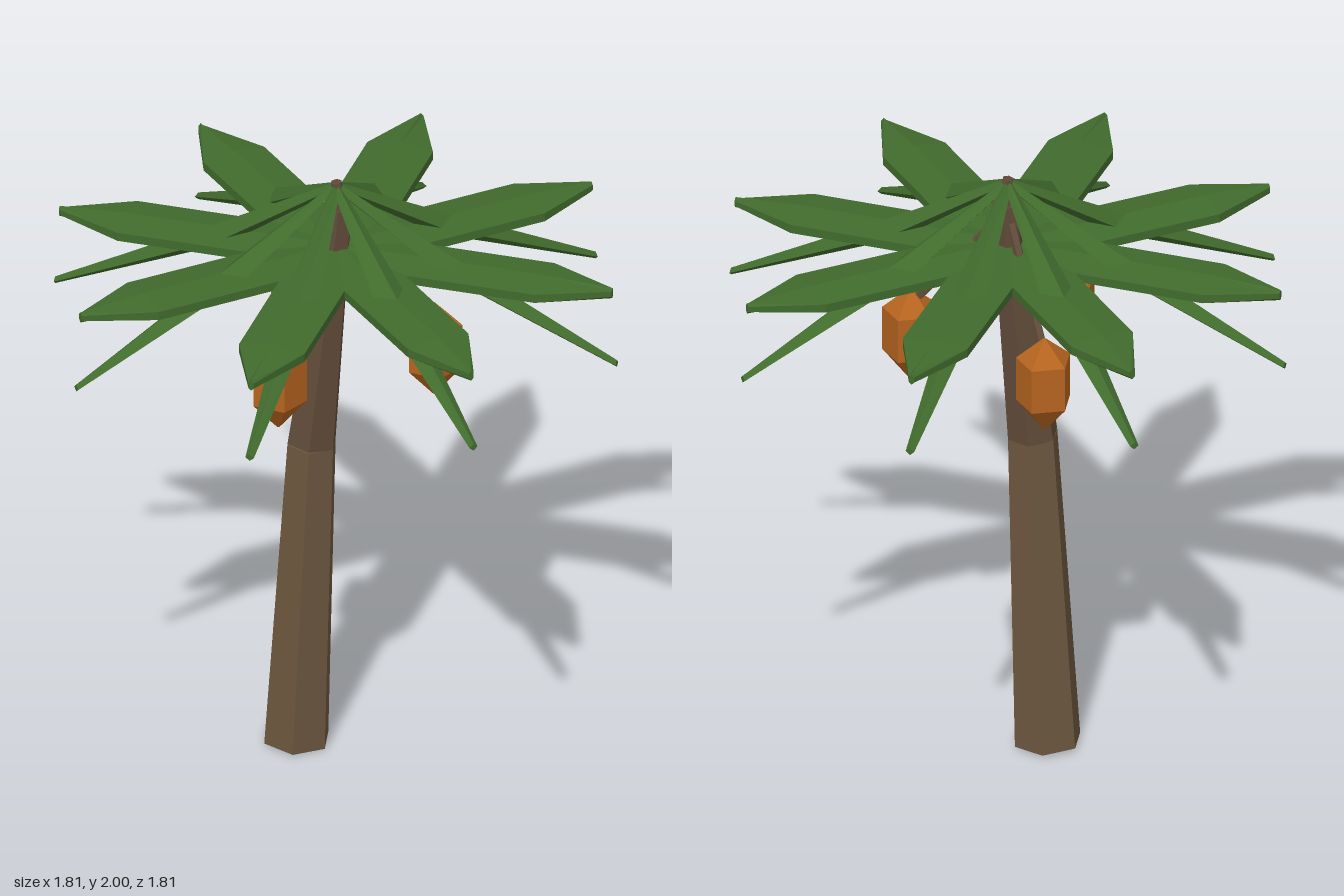
import * as THREE from 'three';

const mat = (name, color) => {
  const m = new THREE.MeshStandardMaterial({ color });
  m.name = name;
  return m;
};

// Faceted normals for the low-poly look
const facet = (geo) => {
  const g = geo.toNonIndexed();
  g.computeVertexNormals();
  return g;
};

// Prism along x through stations [x, centreY, halfHeight, halfWidth]
function beam(sides, stations) {
  const n = stations.length - 1;
  const geo = new THREE.CylinderGeometry(1, 1, n, sides, n);
  const p = geo.attributes.position;
  for (let i = 0; i < p.count; i++) {
    const [x, y, h, w] = stations[Math.round(p.getY(i) + n / 2)];
    p.setXYZ(i, x, y + p.getZ(i) * h, p.getX(i) * w);
  }
  return facet(geo);
}

// Tapered rod between two points
function rod(a, b, ra, rb, sides) {
  const from = new THREE.Vector3(...a), dir = new THREE.Vector3(...b).sub(from);
  const geo = new THREE.CylinderGeometry(rb, ra, dir.length(), sides);
  const up = new THREE.Vector3(0, 1, 0);
  geo.applyQuaternion(new THREE.Quaternion().setFromUnitVectors(up, dir.clone().normalize()));
  geo.translate(...from.addScaledVector(dir, 0.5).toArray());
  return facet(geo);
}

export function createModel() {
  const model = new THREE.Group();
  model.name = 'palmTree';
  const bark = mat('bark', 0x6b563e);
  const upperBark = mat('upperBark', 0x5f4a38);
  const green = mat('leafGreen', 0x416b2d);
  const orange = mat('fruitOrange', 0xb5641f);

  const add = (name, geo, material, turn = 0) => {
    const mesh = new THREE.Mesh(geo, material);
    mesh.name = name;
    mesh.rotation.y = turn;
    model.add(mesh);
    return mesh;
  };

  // Leaning trunk in two segments, with a small tip
  const bend = [-0.075, 1.08, 0.02], crown = [0.012, 1.91, -0.003];
  add('lowerTrunk', rod([-0.125, 0.005, 0], bend, 0.11, 0.083, 6), bark);
  add('upperTrunk', rod(bend, crown, 0.083, 0.042, 6), upperBark);
  add('trunkTip', rod(crown, [0, 2, 0], 0.03, 0.018, 6), upperBark);

  // Flat blades, each crossing the crown and pointed at both ends
  const blade = beam(6, [
    [-0.905, 1.749, 0.018, 0.01],
    [-0.683, 1.749, 0.029, 0.124],
    [0.683, 1.749, 0.029, 0.124],
    [0.905, 1.749, 0.018, 0.01],
  ]);
  // Drooping ribs with a straight upper ridge
  const rib = beam(4, [
    [0, 1.985, 0.015, 0.015],
    [0.36, 1.762, 0.042, 0.055],
    [0.92, 1.5, 0.012, 0.014],
  ]);
  for (let i = 0; i < 8; i++) {
    const turn = -(Math.PI / 16 + (i * Math.PI) / 4);
    if (i < 4) add('flatLeaf', blade, green, turn);
    add('droopingRib', rib, green, turn);
  }

  // Three hanging fruits on stalks
  const fruitGeo = new THREE.CylinderGeometry(0.09, 0.09, 3, 5, 3);
  const levels = [[1.262, 0.004], [1.36, 0.09], [1.51, 0.09], [1.585, 0.004]];
  const p = fruitGeo.attributes.position;
  for (let i = 0; i < p.count; i++) {
    const [y, r] = levels[Math.round(p.getY(i) + 1.5)];
    p.setXYZ(i, (p.getX(i) * r) / 0.09, y, (p.getZ(i) * r) / 0.09);
  }
  const fruit = facet(fruitGeo);
  for (let i = 0; i < 3; i++) {
    const a = (i * Math.PI * 2) / 3;
    const x = Math.cos(a) * 0.308, z = Math.sin(a) * 0.308;
    add('fruitStalk', rod([0, 1.88, 0], [x, 1.53, z], 0.016, 0.016, 5), upperBark);
    add('fruit', fruit, orange, Math.PI / 2).position.set(x, 0, z);
  }
  return model;
}
